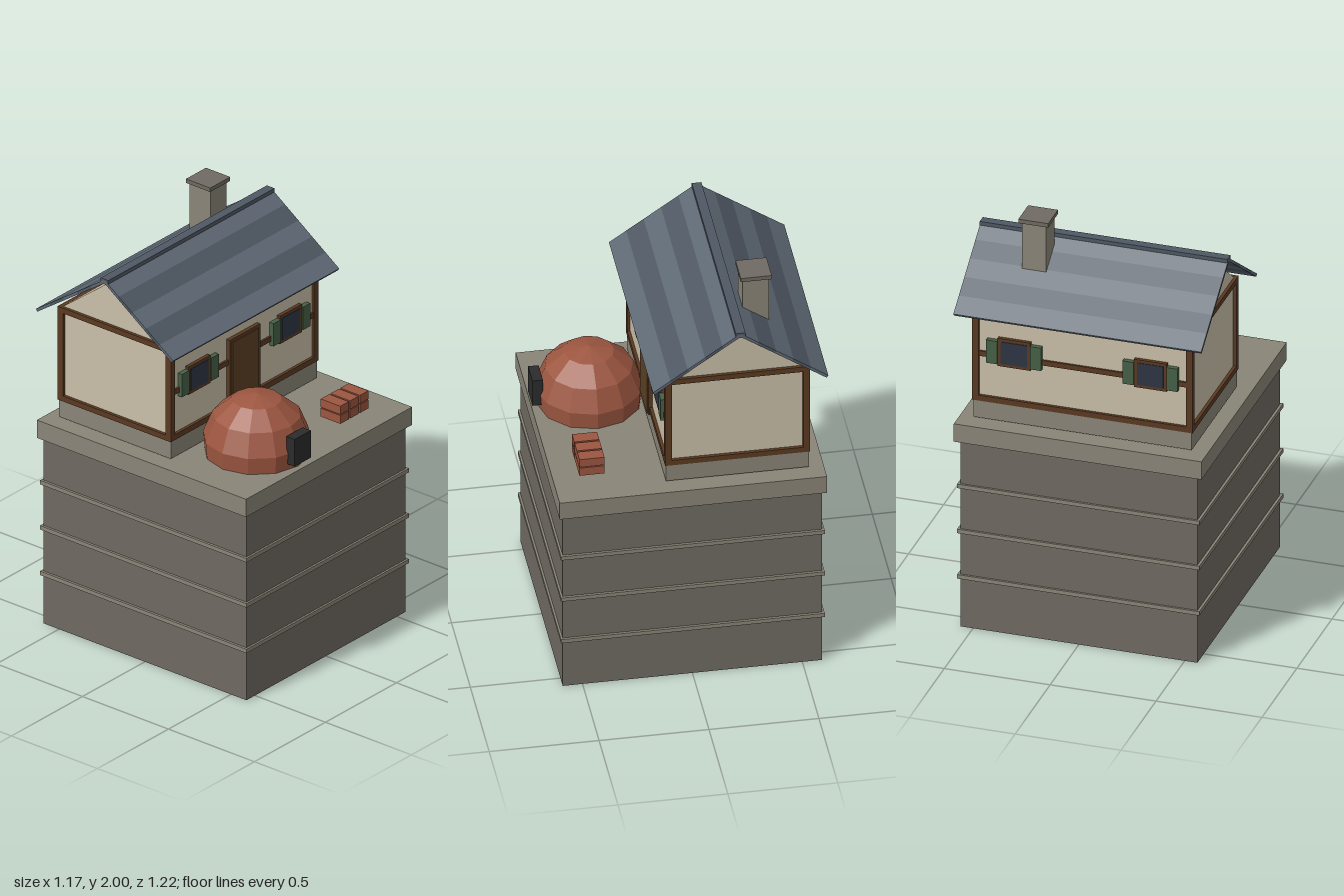
import * as THREE from 'three';

const mats = {};
const mat = (color) => (mats[color] ??= new THREE.MeshStandardMaterial({ color, flatShading: true }));
const STONE = 0x6f6a62, PALE = 0x8a8578, CREAM = 0xc9bfa8, TIMBER = 0x5a3a22, DOOR = 0x5c4024;
const GREEN = 0x466046, GLASS = 0x2e3542, BRICK = 0x9c5640, IRON = 0x2c2c2c;
const SLATE = [0x5f6975, 0x4e5863];

// Box given by its min/max on each axis
function box(parent, name, color, [x0, x1], [y0, y1], [z0, z1]) {
  const m = new THREE.Mesh(new THREE.BoxGeometry(x1 - x0, y1 - y0, z1 - z0), mat(color));
  m.position.set((x0 + x1) / 2, (y0 + y1) / 2, (z0 + z1) / 2);
  m.name = name;
  parent.add(m);
  return m;
}

function group(parent, name) {
  const g = new THREE.Group();
  g.name = name;
  parent.add(g);
  return g;
}

function buildTower(root) {
  const tower = group(root, 'tower');
  box(tower, 'towerShaft', STONE, [-0.56, 0.56], [0, 0.94], [-0.59, 0.59]);
  for (const y of [0.255, 0.485, 0.713])
    box(tower, 'towerBand', PALE, [-0.572, 0.572], [y - 0.01, y + 0.01], [-0.6, 0.6]);
  box(tower, 'towerSlab', PALE, [-0.585, 0.585], [0.94, 1.03], [-0.608, 0.608]);
}

// Window with two shutters, on a wall facing +z at z = 0.315
function buildWindow(parent, x) {
  const w = group(parent, 'window');
  w.position.x = x;
  box(w, 'windowFrame', TIMBER, [-0.077, 0.077], [1.322, 1.462], [0.31, 0.332]);
  box(w, 'windowPane', GLASS, [-0.062, 0.062], [1.337, 1.447], [0.31, 0.335]);
  for (const s of [-1, 1])
    box(w, 'shutter', GREEN, [s * 0.104 - 0.026, s * 0.104 + 0.026], [1.333, 1.448], [0.315, 0.338]);
}

function buildHouse(root) {
  // House is built around its own centre line, then set back on the tower
  const house = group(root, 'house');
  house.position.z = -0.212;
  box(house, 'foundation', PALE, [-0.515, 0.515], [1.043, 1.13], [-0.325, 0.325]);
  box(house, 'walls', CREAM, [-0.505, 0.505], [1.13, 1.6], [-0.315, 0.315]);

  // Gable prism running along x
  const tri = new THREE.Shape([[-0.31, 1.6], [0.31, 1.6], [0, 1.84]].map((p) => new THREE.Vector2(...p)));
  const gable = new THREE.Mesh(
    new THREE.ExtrudeGeometry(tri, { depth: 1.01, bevelEnabled: false }).rotateY(Math.PI / 2).translate(-0.505, 0, 0),
    mat(CREAM));
  gable.name = 'gable';
  house.add(gable);

  // Timber frame: corner posts, then sills and top plates on all sides
  for (const s of [-1, 1]) {
    const along = [s * 0.505 - 0.015, s * 0.505 + 0.015];
    const across = [s * 0.314 - 0.015, s * 0.314 + 0.015];
    for (const t of [-1, 1])
      box(house, 'cornerPost', TIMBER, along, [1.13, 1.6], [t * 0.314 - 0.015, t * 0.314 + 0.015]);
    for (const y of [1.13, 1.574]) {
      box(house, 'longBeam', TIMBER, [-0.52, 0.52], [y, y + 0.027], across);
      box(house, 'endBeam', TIMBER, along, [y, y + 0.027], [-0.329, 0.329]);
    }
    box(house, 'middleRail', TIMBER, [-0.505, 0.505], [1.355, 1.38], [s * 0.314 - 0.011, s * 0.314 + 0.011]);
  }

  // Windows front and back
  for (const turn of [0, Math.PI]) {
    const side = group(house, turn ? 'backWindows' : 'frontWindows');
    side.rotation.y = turn;
    for (const x of [-0.322, 0.322]) buildWindow(side, x);
  }

  // Front door
  box(house, 'doorFrame', TIMBER, [-0.11, 0.104], [1.115, 1.482], [0.3, 0.334]);
  box(house, 'door', DOOR, [-0.095, 0.089], [1.115, 1.467], [0.3, 0.339]);
}

function buildRoof(root) {
  const roof = group(root, 'roof');
  roof.position.z = -0.215;
  const run = 0.395, low = 1.583, high = 1.858, rows = 5;
  const pitch = Math.atan2(high - low, run);
  const length = Math.hypot(run, high - low) / rows;
  // Rows of slate, alternating shade from the eaves up
  for (const turn of [0, Math.PI]) {
    const slope = group(roof, turn ? 'backSlope' : 'frontSlope');
    slope.rotation.y = turn;
    for (let i = 0; i < rows; i++) {
      const t = (i + 0.5) / rows;
      const row = new THREE.Mesh(new THREE.BoxGeometry(1.17, 0.014, length), mat(SLATE[i % 2]));
      row.name = 'slateRow';
      row.position.set(0, low + (high - low) * t, run * (1 - t));
      row.rotation.x = pitch;
      slope.add(row);
    }
  }
  box(roof, 'ridgeCap', SLATE[1], [-0.585, 0.585], [1.845, 1.87], [-0.022, 0.022]);
}

function buildChimney(root) {
  const chimney = group(root, 'chimney');
  box(chimney, 'chimneyStack', PALE, [0.222, 0.336], [1.65, 1.98], [-0.386, -0.266]);
  box(chimney, 'chimneyCap', STONE, [0.209, 0.35], [1.98, 2], [-0.397, -0.256]);
}

function buildOven(root) {
  const oven = group(root, 'oven');
  const dome = new THREE.Mesh(
    new THREE.SphereGeometry(0.248, 12, 4, 0, Math.PI * 2, 0, Math.PI * 0.6), mat(BRICK));
  dome.name = 'ovenDome';
  dome.position.set(-0.187, 1.073, 0.343);
  oven.add(dome);
  box(oven, 'ovenDoor', IRON, [-0.245, -0.13], [1.06, 1.197], [0.562, 0.61]);
}

function buildBricks(root) {
  // Two layers of three bricks
  const pile = group(root, 'brickPile');
  for (let i = 0; i < 3; i++)
    for (const y of [1.05, 1.097]) {
      const x = 0.222 + i * 0.069;
      box(pile, 'brick', BRICK, [x, x + 0.06], [y, y + 0.042], [0.376, 0.49]);
    }
}

export function createModel() {
  const root = new THREE.Group();
  root.name = 'towerHouse';
  for (const build of [buildTower, buildHouse, buildRoof, buildChimney, buildOven, buildBricks]) build(root);
  return root;
}
